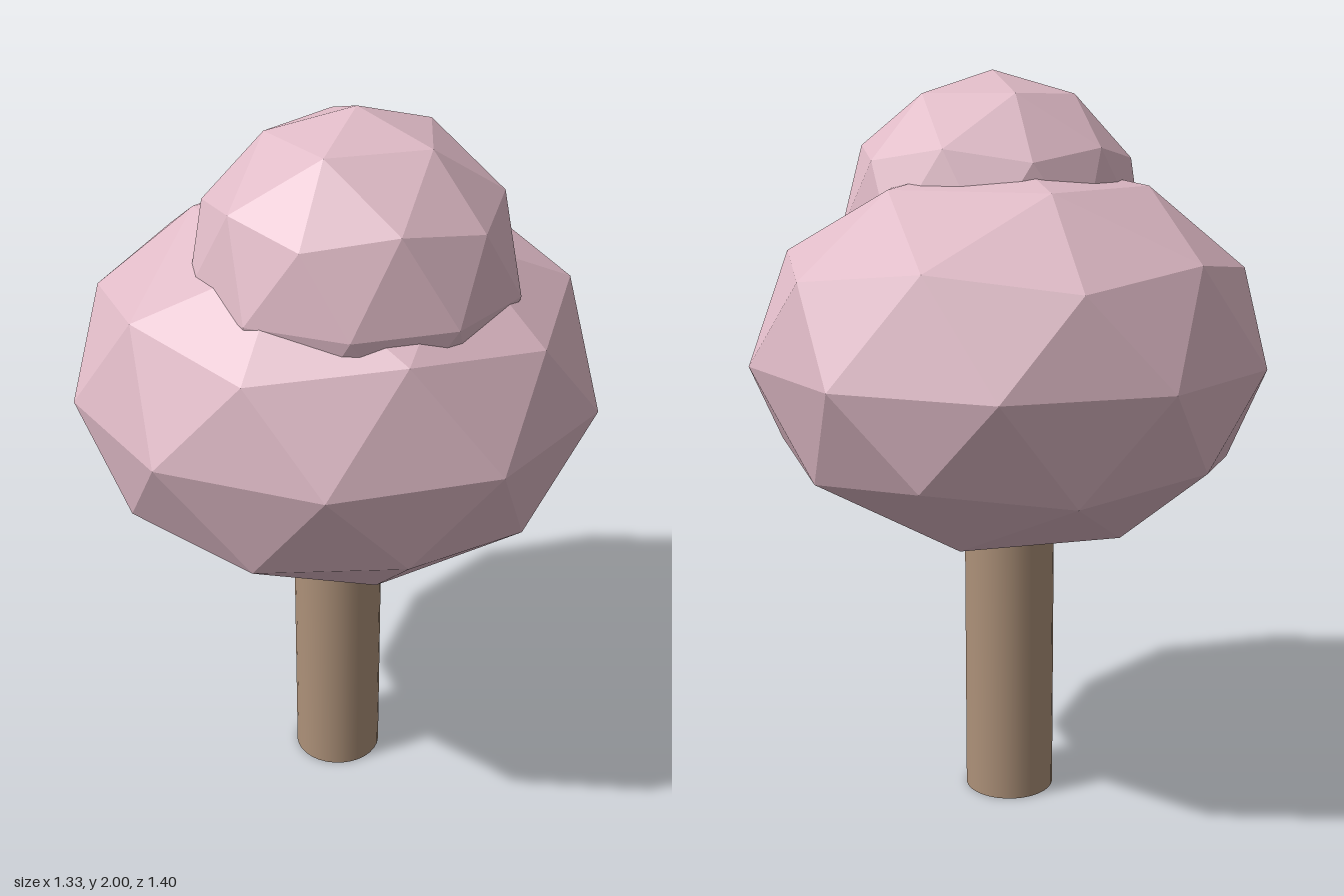
import * as THREE from 'three';

export function createModel() {
  const blossom = new THREE.MeshStandardMaterial({ color: 0xdfbac6, flatShading: true });
  blossom.name = 'blossomPink';
  const bark = new THREE.MeshStandardMaterial({ color: 0xad9179 });
  bark.name = 'barkBrown';

  const tree = new THREE.Group();
  tree.name = 'tree';

  // Faceted crown: an icosphere standing on one of its poles
  function addCrown(name, radius, height, x, y, z) {
    const geometry = new THREE.IcosahedronGeometry(1, 1);
    geometry.rotateZ(-Math.atan(2 / (1 + Math.sqrt(5))));
    geometry.scale(radius, height, radius);
    geometry.computeVertexNormals();
    const crown = new THREE.Mesh(geometry, blossom);
    crown.name = name;
    crown.position.set(x, y, z);
    tree.add(crown);
  }
  addCrown('lowerCrown', 0.7, 0.53, 0, 1.25, 0);
  addCrown('upperCrown', 0.42, 0.42, 0.12, 1.58, 0.08);

  // Round trunk, its top sunk into the lower crown
  const trunk = new THREE.Mesh(new THREE.CylinderGeometry(0.124, 0.124, 0.84, 32), bark);
  trunk.name = 'trunk';
  trunk.position.y = 0.42;
  tree.add(trunk);

  return tree;
}
